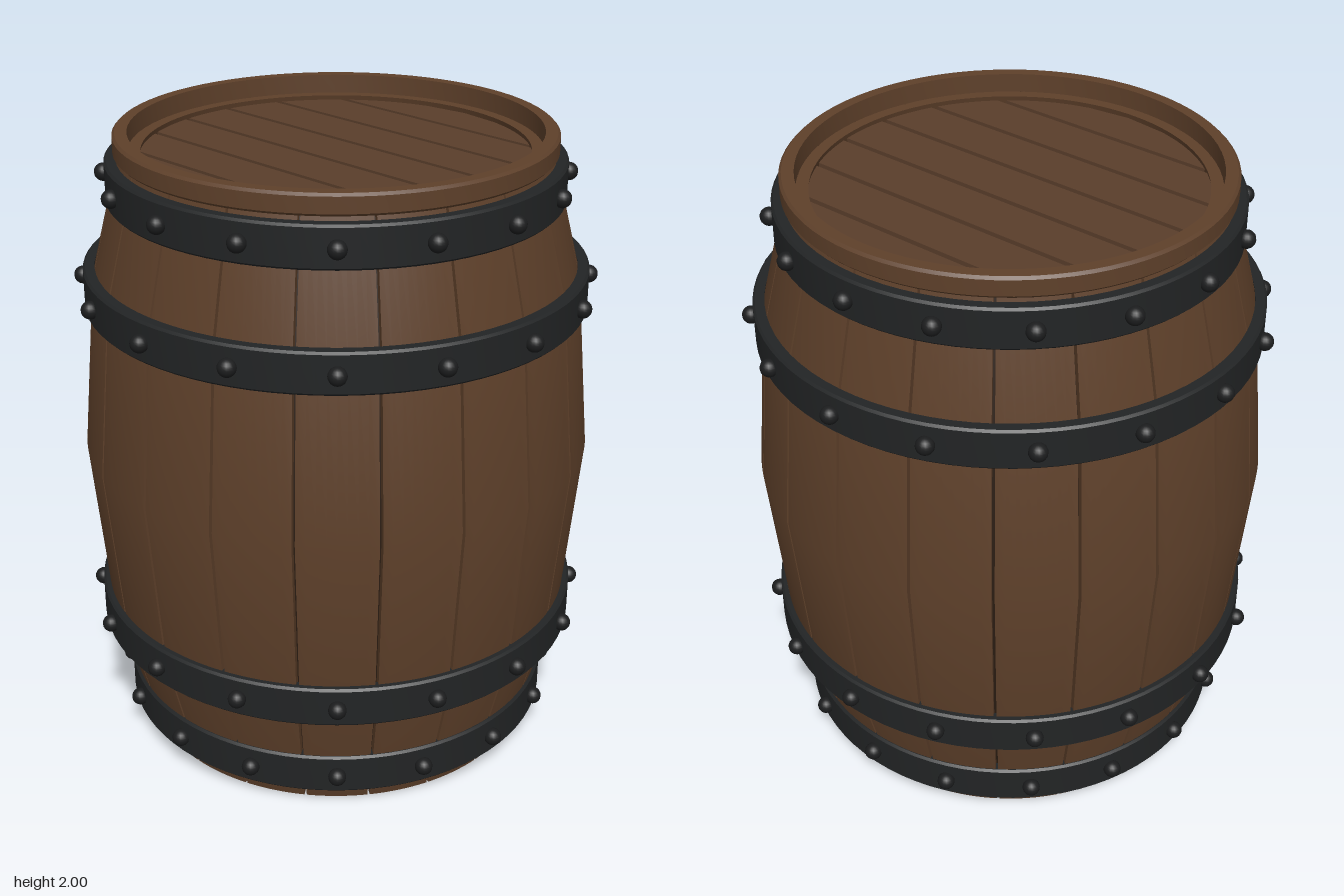
import * as THREE from 'three';
import { toCreasedNormals } from 'three/addons/utils/BufferGeometryUtils.js';

const mat = (name, color) => {
  const m = new THREE.MeshStandardMaterial({ color });
  m.name = name;
  return m;
};

// barrel outline: [height, outer radius]
const LEVELS = [[0, 0.64], [0.44, 0.755], [1, 0.805], [1.55, 0.755], [1.94, 0.655]];
const WALL = 0.066, GROOVE = 0.03, STAVES = 20;

function lathe(points, segments = 80) {
  const g = new THREE.LatheGeometry(points.map(([r, y]) => new THREE.Vector2(r, y)), segments);
  return toCreasedNormals(g, 0.45);
}

// closed band with a rectangular section and small bevels on the outside
function band(inner, outer, y0, y1, bevel) {
  return lathe([
    [inner, y0], [outer - bevel, y0], [outer, y0 + bevel],
    [outer, y1 - bevel], [outer - bevel, y1], [inner, y1], [inner, y0],
  ]);
}

// one curved stave: a ring sector raised in steps, each step scaled to the outline
function staveGeometry() {
  const half = Math.PI / STAVES - 0.006;
  const s = new THREE.Shape();
  s.absarc(0, 0, 1, -half, half, false);
  s.absarc(0, 0, 0.5, half, -half, true);
  const g = new THREE.ExtrudeGeometry(s, { depth: 4, steps: 4, bevelEnabled: false, curveSegments: 4 });
  g.rotateX(-Math.PI / 2);
  const p = g.attributes.position;
  for (let i = 0; i < p.count; i++) {
    const x = p.getX(i), z = p.getZ(i), r = Math.hypot(x, z);
    const [y, outer] = LEVELS[Math.round(p.getY(i))];
    const k = (r > 0.75 ? outer : outer - GROOVE - 0.004) / r;
    p.setXYZ(i, x * k, y, z * k);
  }
  return toCreasedNormals(g, 0.45);
}

// lid board clipped to the circular opening
function boardGeometry(x0, x1, radius, thickness) {
  const s = new THREE.Shape();
  const n = 8;
  const edge = (x) => Math.sqrt(Math.max(0, radius * radius - x * x));
  for (let i = 0; i <= n; i++) {
    const x = x0 + (x1 - x0) * i / n;
    if (i === 0) s.moveTo(x, -edge(x)); else s.lineTo(x, -edge(x));
  }
  for (let i = n; i >= 0; i--) {
    const x = x0 + (x1 - x0) * i / n;
    if (edge(x) > 0.001) s.lineTo(x, edge(x));
  }
  const g = new THREE.ExtrudeGeometry(s, { depth: thickness, bevelEnabled: false });
  return g.rotateX(-Math.PI / 2);
}

export function createModel() {
  const wood = mat('stave wood', 0x5e402a);
  const lidWood = mat('lid wood', 0x5a3e2b);
  const seam = mat('dark seam', 0x2a1c12);
  const iron = mat('hoop iron', 0x222425);
  const rivetIron = mat('rivet iron', 0x1c1d1e);

  const barrel = new THREE.Group();
  barrel.name = 'barrel';
  const add = (name, geometry, material, parent = barrel) => {
    const m = new THREE.Mesh(geometry, material);
    m.name = name;
    parent.add(m);
    return m;
  };

  // staves with narrow grooves between them
  const staves = new THREE.Group();
  staves.name = 'staves';
  barrel.add(staves);
  const stave = staveGeometry();
  for (let i = 0; i < STAVES; i++) {
    add('stave', stave, wood, staves).rotation.y = (i + 0.5) * 2 * Math.PI / STAVES;
  }

  // dark groove bottoms, and the open inside with its rims
  add('seams', lathe(LEVELS.map(([y, r]) => [r - GROOVE, y])), seam);
  const inside = LEVELS.map(([y, r]) => [r - WALL, y]).reverse();
  const top = LEVELS[LEVELS.length - 1], bottom = LEVELS[0];
  add('innerWall', lathe([
    [top[1] - GROOVE, top[0]], ...inside, [bottom[1] - GROOVE, bottom[0]],
  ]), wood);

  // top rim
  add('topRim', band(0.627, 0.672, 1.935, 2, 0.008), wood);

  // seven spaced lid boards
  const lid = new THREE.Group();
  lid.name = 'lid';
  barrel.add(lid);
  const pitch = 0.176, boardHalf = 0.079, lidRadius = 0.592;
  for (let i = -3; i <= 3; i++) {
    const x0 = i === -3 ? -lidRadius : i * pitch - boardHalf;
    const x1 = i === 3 ? lidRadius : i * pitch + boardHalf;
    add('lidBoard', boardGeometry(x0, x1, lidRadius, 0.04), lidWood, lid).position.y = 1.885;
  }

  // iron hoops with rivets
  const rivet = new THREE.SphereGeometry(0.028, 16, 12);
  for (const [y, r] of [[0.128, 0.7], [0.435, 0.782], [1.525, 0.782], [1.857, 0.7]]) {
    const hoop = new THREE.Group();
    hoop.name = 'hoop';
    barrel.add(hoop);
    add('hoopBand', band(r - 0.036, r, y - 0.065, y + 0.065, 0.007), iron, hoop);
    for (let i = 0; i < 16; i++) {
      const a = i * Math.PI / 8;
      add('rivet', rivet, rivetIron, hoop).position.set(Math.sin(a) * (r + 0.009), y, Math.cos(a) * (r + 0.009));
    }
  }
  return barrel;
}
